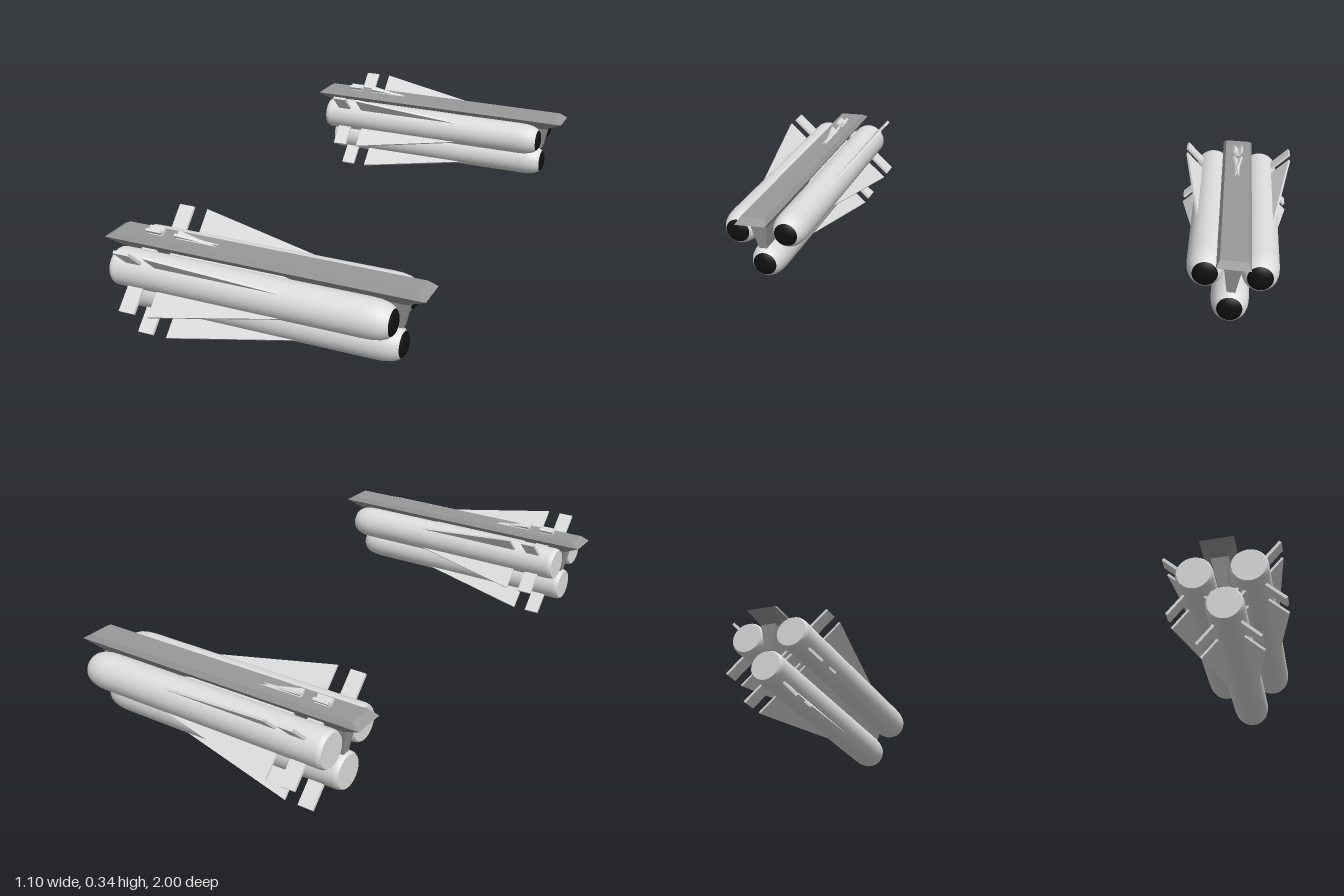
import * as THREE from 'three';
import { ConvexGeometry } from 'three/addons/geometries/ConvexGeometry.js';

const mat = (name, color) => {
  const m = new THREE.MeshStandardMaterial({ color });
  m.name = name;
  return m;
};

function add(parent, name, geometry, material) {
  const mesh = new THREE.Mesh(geometry, material);
  mesh.name = name;
  parent.add(mesh);
  return mesh;
}

// Surface of revolution along x, from [x, radius] pairs
function turned(profile) {
  const g = new THREE.LatheGeometry(profile.map(([x, r]) => new THREE.Vector2(r, x)), 32);
  return g.rotateZ(-Math.PI / 2);
}

// Thin plate outlined in x and radius, centred on its thickness
function plate(points, thickness) {
  const shape = new THREE.Shape(points.map(([x, y]) => new THREE.Vector2(x, y)));
  const g = new THREE.ExtrudeGeometry(shape, { depth: thickness, bevelEnabled: false });
  return g.translate(0, 0, -thickness / 2);
}

// Convex solid stacked from rectangles [y, half length, half width]
function stacked(layers) {
  const pts = [];
  for (const [y, hx, hz] of layers)
    for (const sx of [-1, 1]) for (const sz of [-1, 1])
      pts.push(new THREE.Vector3(sx * hx, y, sz * hz));
  return new ConvexGeometry(pts);
}

export function createModel() {
  const white = mat('light grey paint', 0xdedede);
  const grey = mat('rail grey', 0x999999);
  const black = mat('black seeker', 0x101010);

  const bodyGeo = turned([[-0.474, 0.056], [-0.466, 0.061], [-0.455, 0.0625], [0.385, 0.0625],
    [0.415, 0.061], [0.44, 0.056], [0.455, 0.049], [0.463, 0.042]]);
  const tailGeo = turned([[-0.474, 0], [-0.474, 0.056]]);
  const noseGeo = turned([[0.463, 0.042], [0.47, 0.033], [0.474, 0.018], [0.475, 0]]);
  const wingGeo = plate([[-0.31, 0.05], [0.15, 0.05], [0.12, 0.062], [-0.31, 0.147]], 0.008);
  const finGeo = plate([[-0.415, 0.05], [-0.36, 0.05], [-0.36, 0.147], [-0.415, 0.147]], 0.01);
  const railGeo = stacked([[0.262, 0.48, 0.03], [0.297, 0.548, 0.055], [0.314, 0.518, 0.045]]);
  const pylonGeo = stacked([[0.17, 0.465, 0.014], [0.21, 0.471, 0.02], [0.27, 0.485, 0.03]]);

  // One missile with four wings and four tail fins in an X
  function missile() {
    const m = new THREE.Group();
    m.name = 'missile';
    add(m, 'body', bodyGeo, white);
    add(m, 'tailCap', tailGeo, white);
    add(m, 'seekerNose', noseGeo, black);
    for (let i = 0; i < 4; i++) {
      const a = Math.PI / 4 + i * Math.PI / 2;
      add(m, 'wing', wingGeo, white).rotation.x = a;
      add(m, 'tailFin', finGeo, white).rotation.x = a;
    }
    return m;
  }

  const model = new THREE.Group();
  model.name = 'missilePods';
  for (const side of [-1, 1]) {
    const pod = new THREE.Group();
    pod.name = side > 0 ? 'frontPod' : 'backPod';
    pod.position.z = side * 0.805;
    // Launch rail and its pylon
    add(pod, 'launchRail', railGeo, grey).rotation.z = -0.003;
    add(pod, 'pylon', pylonGeo, grey);
    // Two missiles beside the pylon and one below
    for (const [y, z] of [[0.229, -0.088], [0.229, 0.088], [0.107, 0]]) {
      const m = missile();
      m.position.set(0, y, z);
      pod.add(m);
    }
    model.add(pod);
  }
  return model;
}
